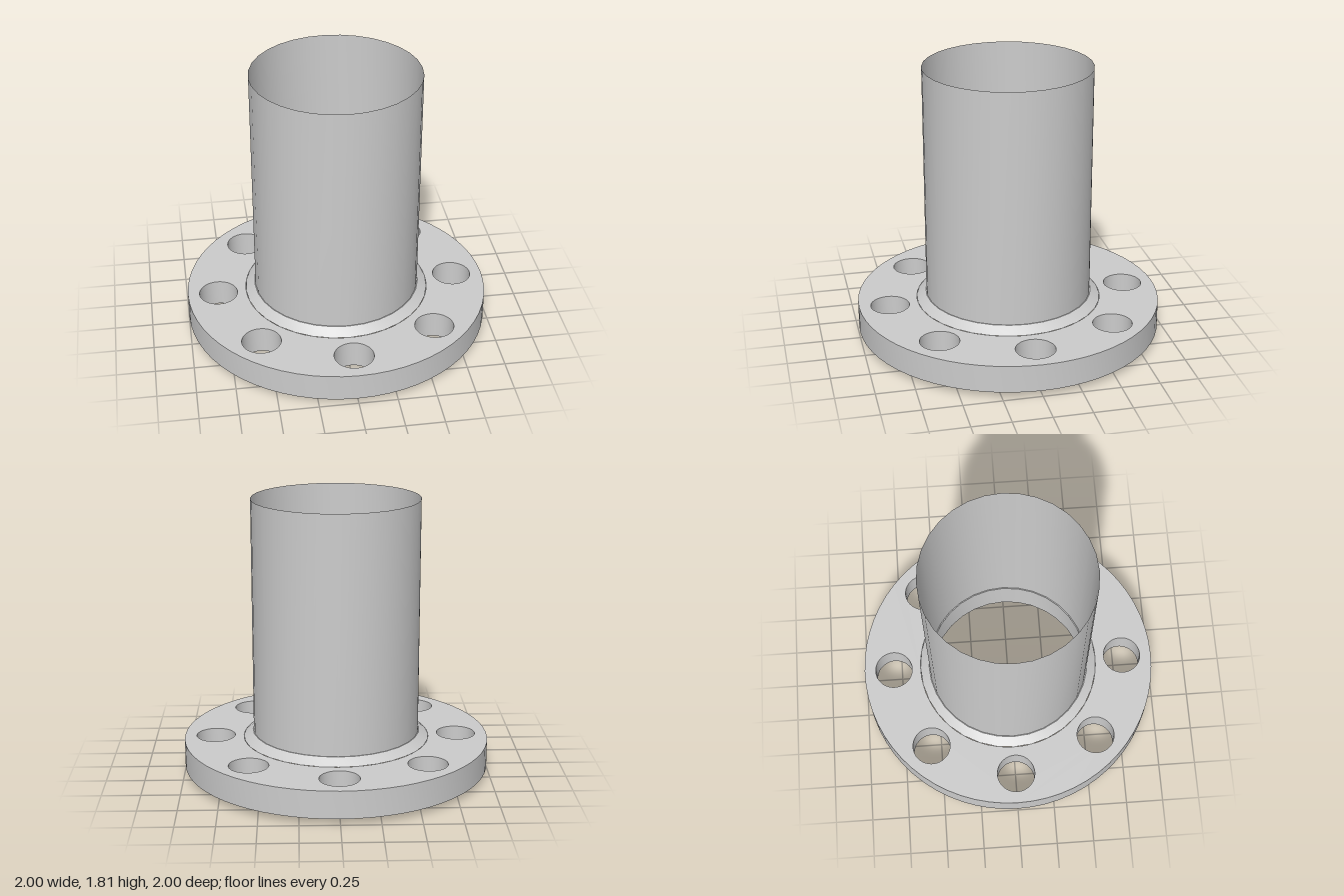
import * as THREE from 'three';
import { toCreasedNormals } from 'three/addons/utils/BufferGeometryUtils.js';

const SEGMENTS = 32;
const PIPE_R = 0.545, BORE_R = 0.538, HUB_R = 0.61;
const BOTTOM = 0.04, TOP = 0.22, HUB_TOP = 0.265, PIPE_TOP = 1.81;

function circle(Type, x, y, r, clockwise = false) {
  return new Type().absarc(x, y, r, 0, Math.PI * 2, clockwise);
}

export function createModel() {
  const model = new THREE.Group();
  model.name = 'flangedPipe';
  const material = new THREE.MeshStandardMaterial({ color: 0xcccccc });

  function add(name, geometry, mat = material) {
    const mesh = new THREE.Mesh(toCreasedNormals(geometry, 0.5), mat);
    mesh.name = name;
    model.add(mesh);
    return mesh;
  }

  // Flange plate with a ring of eight bolt holes around the hub
  const plate = circle(THREE.Shape, 0, 0, 1);
  plate.holes.push(circle(THREE.Path, 0, 0, HUB_R, true));
  for (let i = 0; i < 8; i++) {
    const a = (i * Math.PI) / 4;
    plate.holes.push(circle(THREE.Path, 0.796 * Math.cos(a), 0.796 * Math.sin(a), 0.127, true));
  }
  const plateGeometry = new THREE.ExtrudeGeometry(plate, {
    depth: TOP - BOTTOM, bevelEnabled: false, curveSegments: SEGMENTS,
  });
  plateGeometry.rotateX(-Math.PI / 2).translate(0, BOTTOM, 0);
  add('flange', plateGeometry);

  // Hub: upper taper, straight bore, lower taper
  const hubProfile = [
    [HUB_R, TOP], [0.55, HUB_TOP], [BORE_R, HUB_TOP],
    [BORE_R, 0], [0.55, 0], [HUB_R, BOTTOM],
  ].map(([r, y]) => new THREE.Vector2(r, y));
  add('hub', new THREE.LatheGeometry(hubProfile, SEGMENTS));

  // Thin open pipe rising from the hub
  const pipeMaterial = material.clone();
  pipeMaterial.side = THREE.DoubleSide;
  const height = PIPE_TOP - HUB_TOP;
  const pipe = new THREE.CylinderGeometry(PIPE_R, PIPE_R, height, SEGMENTS, 1, true);
  pipe.translate(0, HUB_TOP + height / 2, 0);
  add('pipe', pipe, pipeMaterial);

  return model;
}
